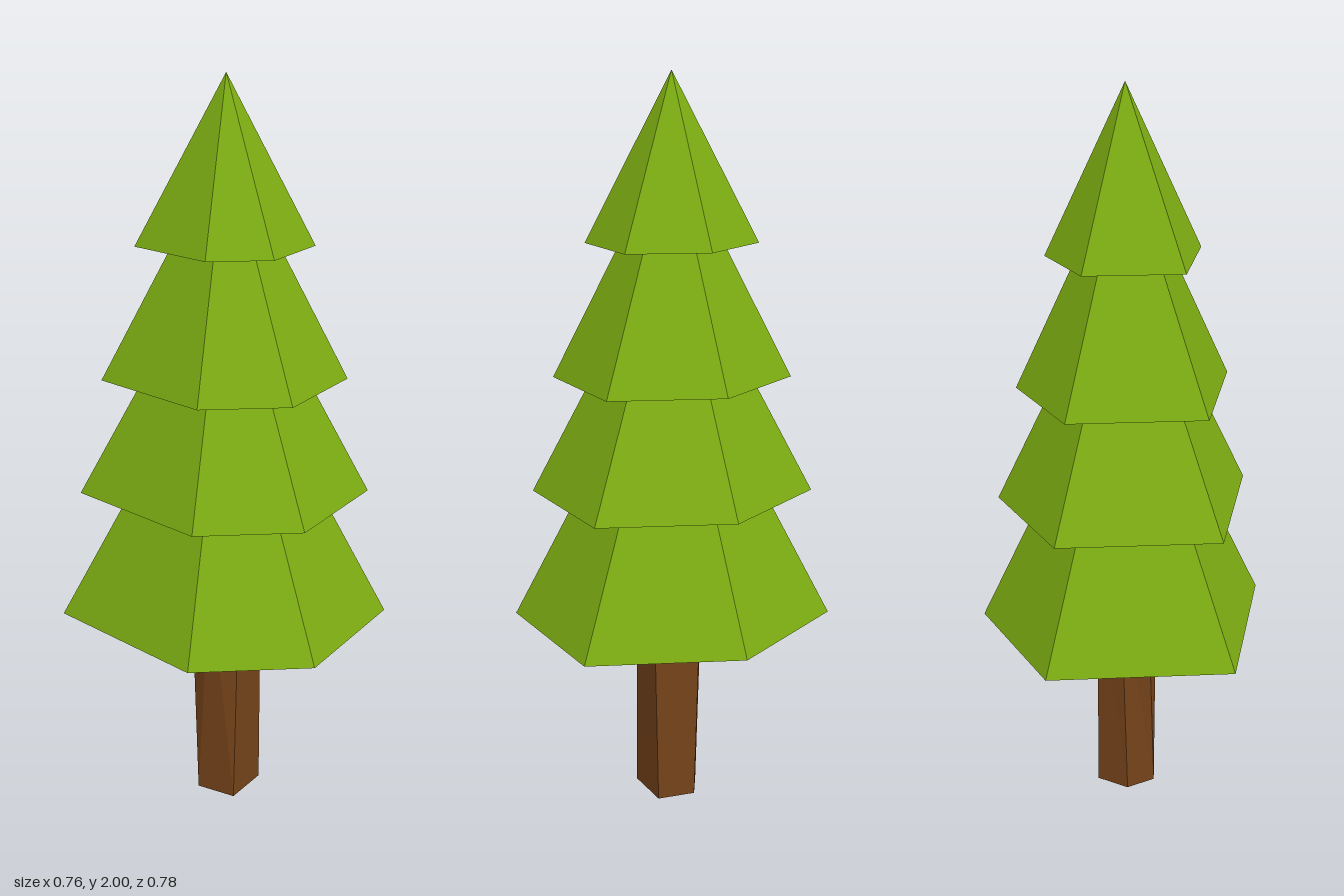
import * as THREE from 'three';

const CENTRE_X = -0.008;
// Six-sided outline of the lowest tier as [x, z], going back, left, front, right
const OUTLINE = [[0.005, -0.393], [0.38, -0.207], [0.37, 0.205], [0.1, 0.39], [-0.383, 0.253], [-0.37, -0.24]]
  .map(([x, z]) => [x - CENTRE_X, z]);

const leaf = { color: 0x7cac12, flatShading: true, roughness: 1 };
const leafMaterial = new THREE.MeshStandardMaterial(leaf);
const hollowMaterial = new THREE.MeshStandardMaterial({ ...leaf, side: THREE.BackSide });
const barkMaterial = new THREE.MeshStandardMaterial({ color: 0x75431a, flatShading: true, roughness: 1 });

function fromTriangles(points) {
  const geometry = new THREE.BufferGeometry();
  geometry.setAttribute('position', new THREE.Float32BufferAttribute(points.flat(), 3));
  geometry.computeVertexNormals();
  return geometry;
}

// Named mesh
function part(name, geometry, material) {
  const mesh = new THREE.Mesh(geometry, material);
  mesh.name = name;
  return mesh;
}

// Faceted cone with a flat rim below and a round hollow inside
function makeTier(index, base, tip, scale) {
  const tier = new THREE.Group();
  tier.name = `foliageTier${index + 1}`;
  tier.position.set(CENTRE_X, base, 0);
  const height = tip - base;
  const ring = OUTLINE.map(([x, z]) => [x * scale, z * scale]);

  const triangles = [];
  ring.forEach(([x, z], i) => {
    const [nx, nz] = ring[(i + 1) % ring.length];
    triangles.push([0, height, 0], [nx, 0, nz], [x, 0, z]);
  });
  tier.add(part('foliageCone', fromTriangles(triangles), leafMaterial));

  const radius = 0.312 * scale;
  const rim = new THREE.Shape(ring.map(([x, z]) => new THREE.Vector2(x, z)));
  rim.holes.push(new THREE.Path().absarc(0, 0, radius, 0, Math.PI * 2, true));
  tier.add(part('foliageRim', new THREE.ShapeGeometry(rim, 16).rotateX(Math.PI / 2), leafMaterial));

  const depth = height * 0.9;
  const hollow = new THREE.ConeGeometry(radius, depth, 32, 1, true).translate(0, depth / 2, 0);
  tier.add(part('foliageHollow', hollow, hollowMaterial));
  return tier;
}

// Irregular trunk between two cross-sections
function makeTrunk() {
  const bottom = [[-0.035, -0.08], [0.068, -0.055], [0.06, 0.08], [0, 0.08], [-0.055, 0.08], [-0.09, 0]]
    .map(([x, z]) => [x, 0, z]);
  const top = [[-0.055, -0.08], [0.076, -0.045], [0.066, 0.06], [-0.01, 0.088], [-0.09, 0.055], [-0.098, -0.02]]
    .map(([x, z]) => [x, 0.66, z]);
  const triangles = [];
  bottom.forEach((a, i) => {
    const j = (i + 1) % bottom.length;
    const b = bottom[j], A = top[i], B = top[j];
    // Split each side so the creases meet at the front
    if (i === 3) triangles.push(A, b, a, A, B, b);
    else triangles.push(A, B, a, B, b, a);
    triangles.push([0, 0, 0], a, b, [0, 0.66, 0], B, A);
  });
  return part('trunk', fromTriangles(triangles), barkMaterial);
}

export function createModel() {
  const tree = new THREE.Group();
  tree.name = 'pineTree';
  tree.add(makeTrunk());
  // Base height, tip height and width of each tier
  [[0.54, 1.37, 1], [0.895, 1.61, 0.872], [1.21, 1.83, 0.73], [1.565, 2, 0.523]]
    .forEach(([base, tip, scale], i) => tree.add(makeTier(i, base, tip, scale)));
  return tree;
}
